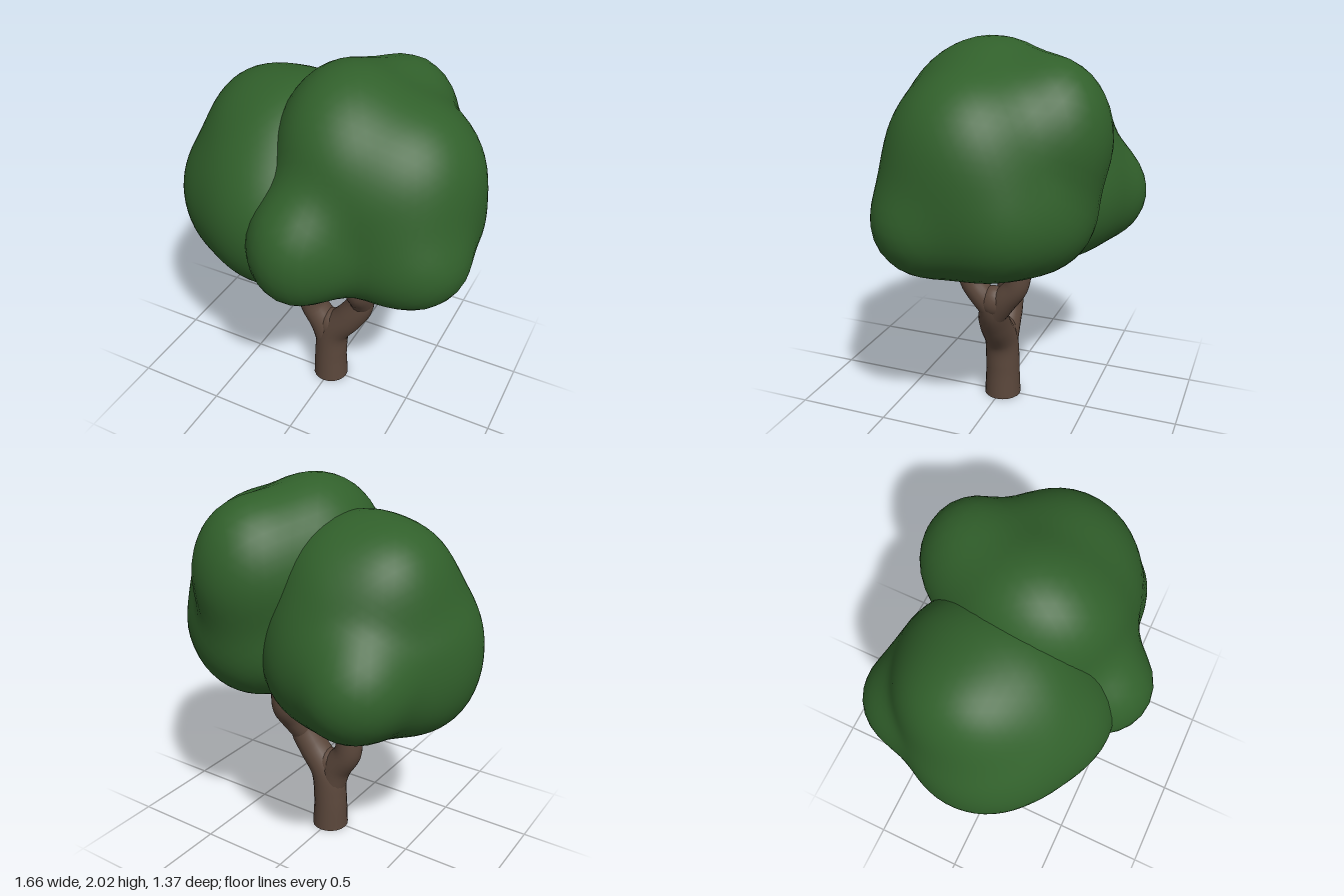
import * as THREE from 'three';
import { mergeVertices } from 'three/addons/utils/BufferGeometryUtils.js';

const leafMaterial = new THREE.MeshStandardMaterial({ color: 0x31602b });
const barkMaterial = new THREE.MeshStandardMaterial({ color: 0x5c483c });

// Distance to softly joined ellipsoids; each lobe is [x, y, z, rx, ry, rz]
function lobeDistance(p, lobes, blend) {
  let d = Infinity;
  for (const [x, y, z, rx, ry, rz] of lobes) {
    const k = Math.hypot((p.x - x) / rx, (p.y - y) / ry, (p.z - z) / rz);
    const e = (k - 1) * Math.min(rx, ry, rz);
    if (d === Infinity) { d = e; continue; }
    const h = Math.max(blend - Math.abs(d - e), 0) / blend;
    d = Math.min(d, e) - h * h * blend * 0.25;
  }
  return d;
}

// Shrink-wraps a ball onto a cluster of lobes
function foliage(name, center, lobes) {
  let geometry = new THREE.IcosahedronGeometry(1, 11);
  geometry.deleteAttribute('uv');
  geometry.deleteAttribute('normal');
  geometry = mergeVertices(geometry, 1e-4);
  const pos = geometry.attributes.position;
  const origin = new THREE.Vector3(...center);
  const dir = new THREE.Vector3();
  const p = new THREE.Vector3();
  for (let i = 0; i < pos.count; i++) {
    dir.fromBufferAttribute(pos, i).normalize();
    let t = 1.3;
    for (let step = 0; step < 60; step++) {
      p.copy(origin).addScaledVector(dir, t);
      t -= lobeDistance(p, lobes, 0.13) * 0.9;
    }
    p.copy(origin).addScaledVector(dir, t);
    pos.setXYZ(i, p.x, p.y, p.z);
  }
  geometry.computeVertexNormals();
  const mesh = new THREE.Mesh(geometry, leafMaterial);
  mesh.name = name;
  return mesh;
}

// Tapered limb along a curve, with radii spaced evenly along its length
function limb(name, points, radii) {
  const curve = new THREE.CatmullRomCurve3(points.map((p) => new THREE.Vector3(...p)));
  const segments = 24, sides = 20;
  const geometry = new THREE.TubeGeometry(curve, segments, 1, sides);
  const pos = geometry.attributes.position;
  const normal = geometry.attributes.normal;
  for (let i = 0; i < pos.count; i++) {
    const u = Math.floor(i / (sides + 1)) / segments;
    const f = u * (radii.length - 1);
    const k = Math.min(Math.floor(f), radii.length - 2);
    const r = THREE.MathUtils.lerp(radii[k], radii[k + 1], f - k);
    const c = curve.getPointAt(u);
    pos.setXYZ(i, c.x + normal.getX(i) * r, c.y + normal.getY(i) * r, c.z + normal.getZ(i) * r);
  }
  const mesh = new THREE.Mesh(geometry, barkMaterial);
  mesh.name = name;
  return mesh;
}

// Rounded swelling where limbs meet
function joint(name, position, scale) {
  const mesh = new THREE.Mesh(new THREE.SphereGeometry(1, 20, 14), barkMaterial);
  mesh.name = name;
  mesh.position.set(...position);
  mesh.scale.set(...scale);
  return mesh;
}

export function createModel() {
  const tree = new THREE.Group();
  tree.name = 'tree';

  // Trunk leaning into the right limb, the left limb and the joints
  const trunk = new THREE.Group();
  trunk.name = 'trunk';
  trunk.add(
    limb('trunkAndRightLimb',
      [[0, 0, -0.008], [0, 0.18, -0.008], [0.02, 0.34, -0.008], [0.12, 0.48, -0.01], [0.19, 0.6, -0.02], [0.2, 0.69, -0.035]],
      [0.102, 0.095, 0.094, 0.088, 0.082, 0.05]),
    limb('leftLimb',
      [[0, 0.24, -0.005], [-0.04, 0.38, -0.005], [-0.115, 0.5, -0.005], [-0.12, 0.64, -0.005], [-0.11, 0.78, -0.005], [-0.1, 0.95, -0.005]],
      [0.08, 0.085, 0.078, 0.07, 0.064, 0.06]),
    joint('lowerJoint', [0.01, 0.39, -0.005], [0.1, 0.095, 0.08]),
    joint('upperJoint', [0.2, 0.655, -0.035], [0.07, 0.085, 0.085]));

  // Right limb forks towards front and back
  for (const [name, side] of [['frontFork', 1], ['backFork', -1]]) {
    const z = (offset) => -0.035 + side * offset;
    trunk.add(limb(name,
      [[0.18, 0.58, z(0)], [0.2, 0.67, z(0.06)], [0.205, 0.76, z(0.125)], [0.2, 0.86, z(0.143)], [0.2, 1.02, z(0.143)]],
      [0.066, 0.068, 0.064, 0.06, 0.056]));
  }

  // Trunk underside
  const base = new THREE.Mesh(new THREE.CircleGeometry(0.102, 20), barkMaterial);
  base.name = 'trunkBase';
  base.rotation.x = Math.PI / 2;
  base.position.z = -0.008;
  trunk.add(base);
  tree.add(trunk);

  // Lower crown, with a lump low at the back
  tree.add(foliage('leftCrown', [-0.33, 1.26, -0.06], [
    [-0.29, 1.24, -0.01, 0.48, 0.46, 0.53],
    [-0.23, 1.43, -0.05, 0.43, 0.45, 0.48],
    [-0.5, 1.21, 0, 0.32, 0.36, 0.34],
    [-0.41, 1.14, -0.4, 0.28, 0.28, 0.29],
    [-0.45, 1.57, -0.1, 0.23, 0.25, 0.28],
    [-0.22, 1.05, -0.06, 0.4, 0.27, 0.43],
    [-0.52, 1.07, -0.02, 0.25, 0.25, 0.28],
    [-0.16, 1.2, -0.28, 0.3, 0.32, 0.3],
    [-0.18, 1.24, 0.26, 0.27, 0.32, 0.28],
  ]));

  // Upper crown, with a tall lump at the back and a low one in front
  tree.add(foliage('rightCrown', [0.22, 1.35, 0.03], [
    [0.29, 1.38, 0.01, 0.46, 0.48, 0.46],
    [0.17, 1.59, 0, 0.36, 0.39, 0.42],
    [0.07, 1.6, 0, 0.29, 0.39, 0.38],
    [0.24, 1.56, -0.36, 0.29, 0.38, 0.28],
    [0.52, 1.19, 0.16, 0.3, 0.28, 0.29],
    [0.5, 1.22, -0.16, 0.27, 0.29, 0.28],
    [0.47, 1.5, 0, 0.31, 0.37, 0.35],
    [0.24, 1.14, 0, 0.38, 0.25, 0.4],
    [0.27, 1.2, -0.3, 0.3, 0.28, 0.27],
    [0.04, 1.23, 0.37, 0.27, 0.33, 0.31],
  ]));

  return tree;
}
